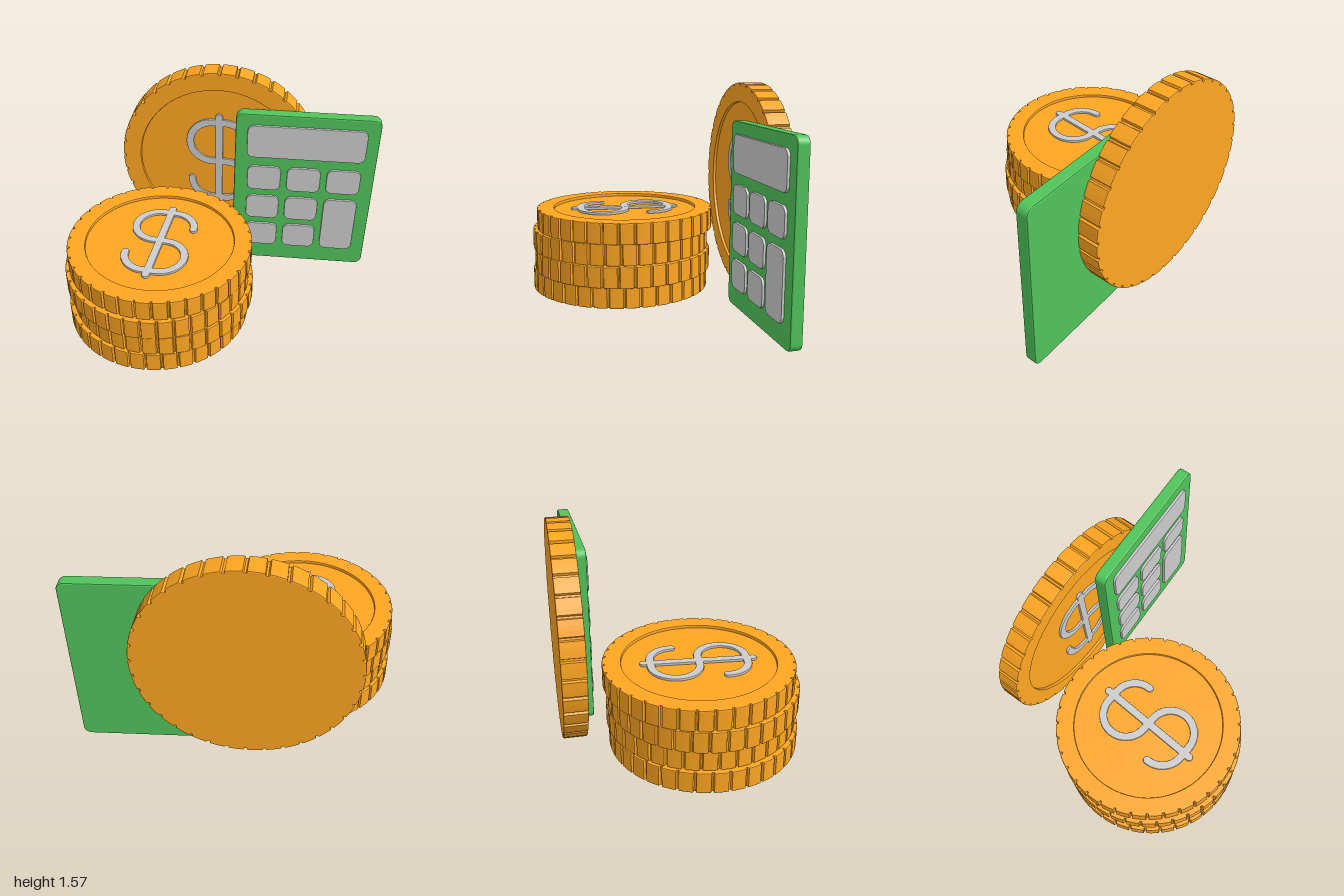
import * as THREE from 'three';

const gold = new THREE.MeshStandardMaterial({ color: 0xffa621 });
const green = new THREE.MeshStandardMaterial({ color: 0x50c45a });
const grey = new THREE.MeshStandardMaterial({ color: 0xcccccc });

function part(name, geometry, material) {
  const mesh = new THREE.Mesh(geometry, material);
  mesh.name = name;
  return mesh;
}

// Extrusion whose total depth and outline include the bevel; it starts at z = 0.
function slab(shape, depth, bevel, curveSegments = 8) {
  const geometry = new THREE.ExtrudeGeometry(shape, {
    depth: depth - 2 * bevel, bevelEnabled: bevel > 0, bevelSize: bevel,
    bevelThickness: bevel, bevelSegments: 2, curveSegments,
  });
  return geometry.translate(0, 0, bevel);
}

// Rounded rectangle centred on the origin
function roundedRect(w, h, r) {
  const x = w / 2, y = h / 2, s = new THREE.Shape();
  s.absarc(x - r, y - r, r, 0, Math.PI / 2);
  s.absarc(-x + r, y - r, r, Math.PI / 2, Math.PI);
  s.absarc(-x + r, -y + r, r, Math.PI, Math.PI * 1.5);
  s.absarc(x - r, -y + r, r, Math.PI * 1.5, Math.PI * 2);
  s.closePath();
  return s;
}

// Points on a circular arc, angles in degrees
function arc(cx, cy, r, from, to, steps = 16) {
  return Array.from({ length: steps + 1 }, (_, i) => {
    const a = THREE.MathUtils.degToRad(from + (to - from) * i / steps);
    return new THREE.Vector2(cx + r * Math.cos(a), cy + r * Math.sin(a));
  });
}

// Band of constant width with round ends that follows a list of points
function band(points, width) {
  const left = [], right = [], last = points.length - 1;
  const angles = points.map((p, i) => points[Math.min(i + 1, last)].clone()
    .sub(points[Math.max(i - 1, 0)]).angle() * 180 / Math.PI);
  points.forEach((p, i) => {
    left.push(arc(p.x, p.y, width / 2, angles[i] + 90, angles[i] + 90, 1)[0]);
    right.unshift(arc(p.x, p.y, width / 2, angles[i] - 90, angles[i] - 90, 1)[0]);
  });
  const end = points[last], start = points[0];
  const endCap = arc(end.x, end.y, width / 2, angles[last] + 90, angles[last] - 90, 8).slice(1, -1);
  const startCap = arc(start.x, start.y, width / 2, angles[0] - 90, angles[0] - 270, 8).slice(1, -1);
  return new THREE.Shape([...left, ...endCap, ...right, ...startCap]);
}

// Notched coin outline
function notchedOutline(radius, teeth, depth) {
  const points = [], pitch = 360 / teeth;
  for (let i = 0; i < teeth; i++) {
    const a = i * pitch;
    points.push(...arc(0, 0, radius, a + pitch * 0.14, a + pitch * 0.86, 3));
    points.push(...arc(0, 0, radius - depth, a + pitch * 0.91, a + pitch * 1.09, 1));
  }
  return new THREE.Shape(points);
}

// Coin with its plain back at z = 0 and its decorated face towards +z
function makeCoin(name, radius, thickness, inner, emblemScale) {
  const coin = new THREE.Group();
  coin.name = name;
  const bevel = 0.007, recess = 0.022;

  const outline = notchedOutline(radius - bevel, 36, 0.017);
  outline.holes.push(new THREE.Path().absarc(0, 0, inner, 0, Math.PI * 2, true));
  coin.add(part('notchedRim', slab(outline, thickness, bevel, 36), gold));

  const floor = thickness - recess;
  const disc = new THREE.CylinderGeometry(inner, inner, floor, 72);
  disc.rotateX(Math.PI / 2).translate(0, 0, floor / 2);
  coin.add(part('coinDisc', disc, gold));

  // Raised emblem: double curve crossed by an upright bar
  const emblem = new THREE.Group();
  emblem.name = 'emblem';
  const r = 0.1625;
  const curve = [
    ...arc(0.04, r, r, 0, 90), ...arc(-0.05, r, r, 90, 270),
    ...arc(0.05, -r, r, 90, -90), ...arc(-0.04, -r, r, 270, 180),
  ];
  const bar = [new THREE.Vector2(0, 0.37), new THREE.Vector2(0, -0.37)];
  emblem.add(part('emblemCurve', slab(band(curve, 0.046), 0.018, 0.004), grey));
  emblem.add(part('emblemBar', slab(band(bar, 0.046), 0.019, 0.004), grey));
  emblem.position.z = floor;
  emblem.scale.set(emblemScale, emblemScale, 1);
  coin.add(emblem);
  return coin;
}

function makeCalculator() {
  const calculator = new THREE.Group();
  calculator.name = 'calculator';
  const depth = 0.085;
  const body = slab(roundedRect(1.02, 1.29, 0.045), depth, 0.01);
  calculator.add(part('calculatorBody', body.translate(0, 0, -depth / 2), green));

  const panel = (name, x, y, w, h) => {
    const mesh = part(name, slab(roundedRect(w - 0.01, h - 0.01, 0.045), 0.028, 0.005), grey);
    mesh.position.set(x, y, depth / 2 - 0.01);
    calculator.add(mesh);
  };
  panel('screen', 0, 0.437, 0.864, 0.266);

  // Keypad: three by three, with one tall key in the last column
  const columns = [-0.296, 0, 0.296], rows = [0.123, -0.143, -0.405];
  rows.forEach((y, row) => columns.forEach((x, column) => {
    if (column < 2 || row === 0) panel('key', x, y, 0.25, 0.206);
  }));
  panel('tallKey', columns[2], -0.274, 0.25, 0.468);
  return calculator;
}

export function createModel() {
  const model = new THREE.Group();
  model.name = 'coinsAndCalculator';

  // Stack of coins: x, z and turn of each, from the bottom up
  const stack = new THREE.Group();
  stack.name = 'coinStack';
  const thickness = 0.149;
  [[-0.355, 0.243, 2], [-0.325, 0.227, 7], [-0.355, 0.241, 0], [-0.343, 0.209, 5.5]]
    .forEach(([x, z, turn], i) => {
      const coin = makeCoin('stackedCoin', 0.647, thickness, 0.528, 1);
      coin.rotation.set(-Math.PI / 2, 0, THREE.MathUtils.degToRad(turn));
      coin.position.set(x, 0.074 + i * thickness, z);
      stack.add(coin);
    });
  model.add(stack);

  // Large coin standing upright at the back
  const holder = new THREE.Group();
  holder.name = 'standingCoin';
  const standing = makeCoin('largeCoin', 0.74, 0.157, 0.61, 1.03);
  standing.position.z = -0.157 / 2;
  holder.add(standing);
  holder.position.set(-0.178, 0.84, -0.687);
  holder.rotation.y = THREE.MathUtils.degToRad(9.7);
  model.add(holder);

  // Calculator leaning against it
  const calculator = makeCalculator();
  calculator.position.set(0.478, 0.667, -0.683);
  calculator.rotation.set(0, THREE.MathUtils.degToRad(12.1), THREE.MathUtils.degToRad(-0.7));
  model.add(calculator);
  return model;
}
